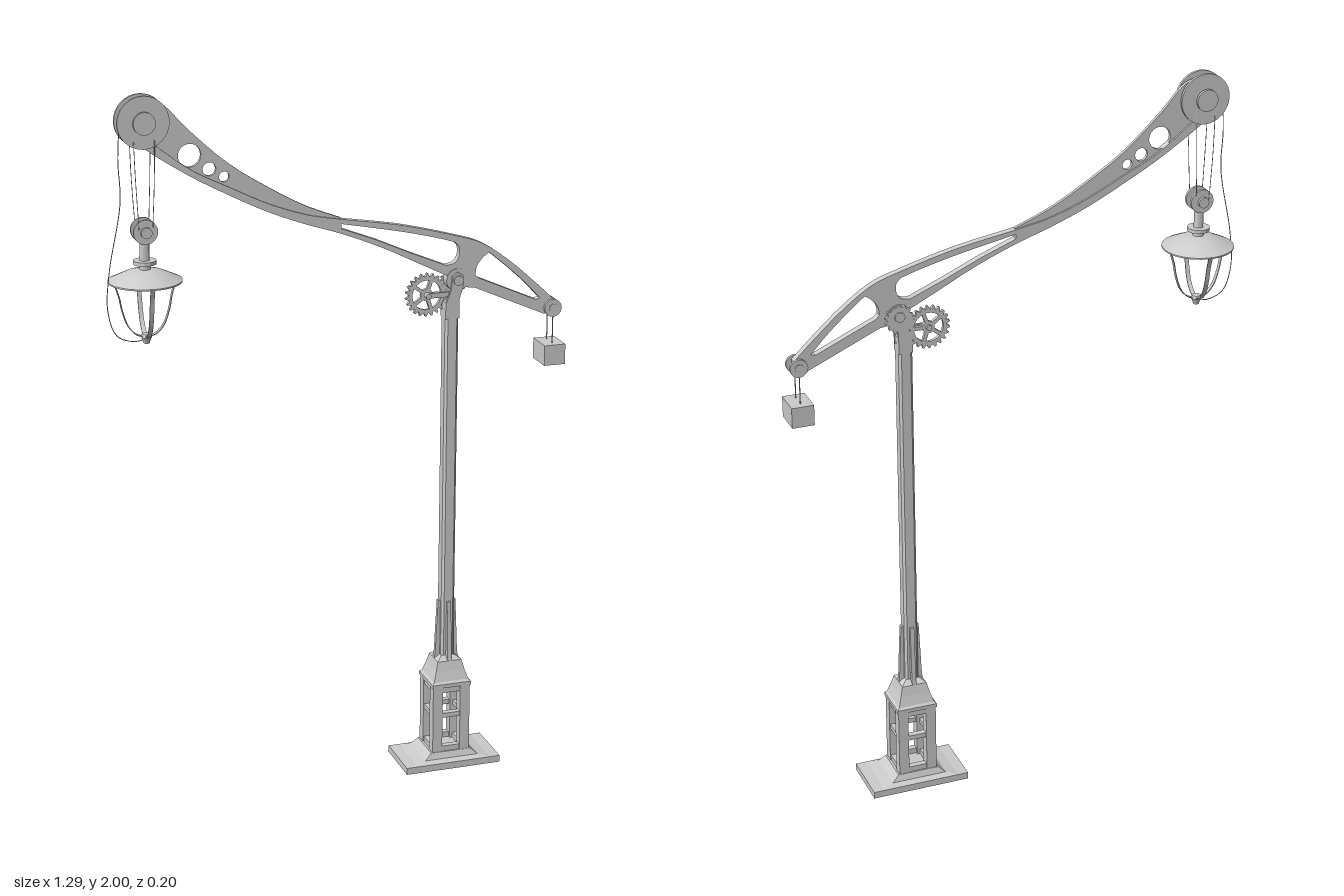
import * as THREE from 'three';
import { toCreasedNormals } from 'three/addons/utils/BufferGeometryUtils.js';

const V2 = (x, y) => new THREE.Vector2(x, y);
const V3 = (x, y, z) => new THREE.Vector3(x, y, z);
const smooth = new THREE.MeshStandardMaterial({ color: 0xcccccc });
const thin = new THREE.MeshStandardMaterial({ color: 0xcccccc, side: THREE.DoubleSide });
const flat = new THREE.MeshStandardMaterial({ color: 0xcccccc, side: THREE.DoubleSide, flatShading: true });

function add(parent, name, geo, x = 0, y = 0, z = 0, mat = smooth) {
  const m = new THREE.Mesh(geo, mat);
  m.name = name;
  m.position.set(x, y, z);
  parent.add(m);
  return m;
}
const spline = (pts, n = 24) => new THREE.SplineCurve(pts.map(p => V2(...p))).getPoints(n);
const box = (w, h, d) => new THREE.BoxGeometry(w, h, d);
// disc whose axis runs along z
const disc = (r, t, n = 32) => new THREE.CylinderGeometry(r, r, t, n).rotateX(Math.PI / 2);
// outline extruded symmetrically about z = 0, wound so that hole walls face inwards
function plate(shape, t) {
  const outline = shape.getPoints(20);
  if (THREE.ShapeUtils.isClockWise(outline)) outline.reverse();
  const s = new THREE.Shape(outline);
  s.holes = shape.holes;
  const g = new THREE.ExtrudeGeometry(s, { depth: t, bevelEnabled: false, curveSegments: 20 });
  return toCreasedNormals(g.translate(0, 0, -t / 2), 0.6);
}
const circleHole = (x, y, r) => new THREE.Path().absarc(x, y, r, 0, Math.PI * 2, true);
const wire = (pts, r, n) =>
  new THREE.TubeGeometry(new THREE.CatmullRomCurve3(pts.map(p => V3(...p))), n, r, 5);

// open stack of rectangles: [half x, half z, y]
function loft(levels) {
  const pos = [], idx = [];
  levels.forEach(([a, b, y], i) => {
    pos.push(a, y, b, a, y, -b, -a, y, -b, -a, y, b);
    if (!i) return;
    for (let k = 0; k < 4; k++) {
      const p = (i - 1) * 4 + k, q = (i - 1) * 4 + (k + 1) % 4;
      idx.push(p, q, q + 4, p, q + 4, p + 4);
    }
  });
  const g = new THREE.BufferGeometry();
  g.setAttribute('position', new THREE.Float32BufferAttribute(pos, 3));
  g.setIndex(idx);
  g.computeVertexNormals();
  return g;
}

function gear(r, teeth, t, spokes) {
  const s = new THREE.Shape();
  for (let i = 0; i < teeth; i++) {
    [[0, 0.85], [0.3, 1], [0.5, 1], [0.8, 0.85]].forEach(([f, k], j) => {
      const a = (i + f) / teeth * Math.PI * 2;
      s[i + j ? 'lineTo' : 'moveTo'](r * k * Math.cos(a), r * k * Math.sin(a));
    });
  }
  for (let i = 0; i < spokes; i++) {
    const a = i / spokes * Math.PI * 2, b = a + Math.PI * 2 / spokes;
    const h = new THREE.Path();
    h.absarc(0, 0, r * 0.68, a + 0.12, b - 0.12, false);
    h.absarc(0, 0, r * 0.28, b - 0.3, a + 0.3, true);
    s.holes.push(h);
  }
  return plate(s, t);
}

// two flanged wheels on a common axle with end washers
function pulley(parent, name, x, y, r, gap, hubR, hubW) {
  const g = new THREE.Group();
  g.name = name;
  g.position.set(x, y, 0);
  for (const s of [-1, 1]) {
    add(g, 'pulleyFlange', disc(r, 0.008), 0, 0, s * gap);
    add(g, 'pulleyWasher', disc(hubR, 0.008), 0, 0, s * (hubW / 2 - 0.004));
  }
  add(g, 'pulleyAxle', disc(hubR * 0.55, hubW - 0.002), 0, 0, 0);
  parent.add(g);
}

function buildPost(root) {
  const post = new THREE.Group();
  post.name = 'post';
  post.position.x = 0.317;
  root.add(post);
  add(post, 'plinth', loft([[0.142, 0.081, 0], [0.142, 0.081, 0.02], [0.11, 0.079, 0.021],
    [0.08, 0.064, 0.027], [0.06, 0.057, 0.045], [0, 0, 0.046]]), 0, 0, 0, flat);
  add(post, 'plinthHollow', loft([[0.142, 0.081, 0], [0.04, 0.03, 0.026], [0, 0, 0.04]]), 0, 0, 0, flat);
  // open cage with two rows of windows
  for (const sx of [-1, 1]) for (const sz of [-1, 1])
    add(post, 'cagePost', box(0.029, 0.215, 0.029), sx * 0.041, 0.148, sz * 0.041);
  for (const [y, h] of [[0.05, 0.022], [0.157, 0.014], [0.241, 0.026]])
    for (let k = 0; k < 4; k++) {
      const bar = add(post, 'cageRail', box(0.056, h, 0.018));
      bar.position.set(Math.sin(k * Math.PI / 2) * 0.044, y, Math.cos(k * Math.PI / 2) * 0.044);
      bar.rotation.y = k * Math.PI / 2;
    }
  // cap with a concave flare running up into the fins
  add(post, 'cageCap', loft([[0, 0, 0.244], [0.058, 0.058, 0.245], [0.058, 0.058, 0.256], [0.052, 0.052, 0.262],
    [0.043, 0.043, 0.29], [0.036, 0.036, 0.318], [0.019, 0.019, 0.33]]), 0, 0, 0, flat);
  // square mast with chamfered corners
  const a = 0.0195, c = 0.013;
  const section = new THREE.Shape([V2(a, -c), V2(a, c), V2(c, a), V2(-c, a), V2(-a, c), V2(-a, -c), V2(-c, -a), V2(c, -a)]);
  add(post, 'mast', plate(section, 1.1).rotateX(Math.PI / 2), 0, 0.805, 0);
  // four fins
  const fin = new THREE.Shape([V2(0.005, 0.29), ...spline([[0.042, 0.29], [0.034, 0.33], [0.03, 0.41], [0.026, 0.495]], 12),
    V2(0.005, 0.495)]);
  for (let k = 0; k < 4; k++)
    add(post, 'fin', plate(fin, 0.012)).rotation.y = k * Math.PI / 2;
  // fork carrying the arm
  const cheek = new THREE.Shape([V2(-0.02, 1.33), V2(-0.02, 1.37), V2(-0.005, 1.41), V2(0, 1.45), V2(0.015, 1.46),
    V2(0.03, 1.45), V2(0.031, 1.42), V2(0.02, 1.385), V2(0.02, 1.33)]);
  for (const s of [-1, 1]) add(post, 'forkCheek', plate(cheek, 0.007), 0, 0, s * 0.0165);
  add(post, 'forkBlock', box(0.038, 0.04, 0.038), 0, 1.355, 0);
}

function buildArm(root) {
  const arm = new THREE.Group();
  arm.name = 'arm';
  root.add(arm);
  const flangeTop = [[-0.53, 1.885], [-0.415, 1.797], [-0.31, 1.742], [-0.204, 1.69], [-0.098, 1.652], [0, 1.632]];
  // truss frame
  const frame = new THREE.Shape([
    ...spline([...flangeTop, [0.167, 1.603], [0.325, 1.562], [0.405, 1.534], [0.484, 1.48], [0.564, 1.41], [0.625, 1.352]], 50),
    V2(0.625, 1.322), V2(0.59, 1.318), V2(0.385, 1.41), V2(0.35, 1.415), V2(0.325, 1.41), V2(0.304, 1.45),
    ...spline([[0.22, 1.492], [0.114, 1.545], [0, 1.592], [-0.098, 1.625], [-0.204, 1.667], [-0.31, 1.72],
      [-0.415, 1.778], [-0.52, 1.847], [-0.545, 1.87]], 36)]);
  frame.holes.push(
    new THREE.Path([...spline([[0, 1.619], [0.16, 1.587], [0.27, 1.56], [0.325, 1.543]], 14),
      ...spline([[0.337, 1.53], [0.338, 1.505], [0.325, 1.485], [0.3, 1.48]], 8), V2(0.2, 1.522), V2(0.1, 1.567), V2(0, 1.606)]),
    new THREE.Path([...spline([[0.425, 1.507], [0.49, 1.452], [0.535, 1.41], [0.578, 1.364]], 12),
      V2(0.565, 1.361), V2(0.395, 1.437), ...spline([[0.386, 1.447], [0.39, 1.472], [0.408, 1.495]], 6)]));
  add(arm, 'armFrame', plate(frame, 0.021));
  // thin pierced web above the lower flange
  const web = new THREE.Shape([
    ...spline([[-0.59, 1.93], [-0.575, 1.967], [-0.54, 1.985], [-0.484, 1.972], [-0.415, 1.9], [-0.31, 1.805],
      [-0.2, 1.732], [-0.098, 1.675], [0, 1.635]], 36),
    ...spline([[0, 1.622], [-0.098, 1.642], [-0.204, 1.68], [-0.31, 1.732], [-0.415, 1.787], [-0.53, 1.87], [-0.58, 1.9]], 28)]);
  for (const [x, y, r] of [[-0.415, 1.833, 0.031], [-0.362, 1.793, 0.018], [-0.322, 1.77, 0.014]])
    web.holes.push(circleHole(x, y, r));
  add(arm, 'armWeb', plate(web, 0.01));
  // pivot and winding gears
  add(arm, 'pivotBoss', disc(0.032, 0.026), 0.333, 1.437, 0);
  add(arm, 'pivotPin', disc(0.014, 0.05), 0.333, 1.437, 0);
  add(arm, 'pinion', gear(0.04, 14, 0.008, 0), 0.333, 1.43, -0.016);
  add(arm, 'windingGear', gear(0.061, 22, 0.01, 5), 0.252, 1.395, -0.014);
  add(arm, 'gearAxle', disc(0.008, 0.034, 12), 0.252, 1.395, -0.008);
  add(arm, 'gearBracket', box(0.075, 0.014, 0.006), 0.285, 1.395, 0);
}

function buildCounterweight(root) {
  const X = 0.614;
  pulley(root, 'rearPulley', X, 1.335, 0.025, 0.018, 0.012, 0.05);
  add(root, 'counterweight', box(0.062, 0.058, 0.084), X, 1.205, 0);
  for (const s of [-1, 1])
    add(root, 'weightHanger', new THREE.CylinderGeometry(0.0015, 0.0015, 0.105, 6), X, 1.283, s * 0.02);
}

function buildLamp(root) {
  const X = -0.54;
  pulley(root, 'mainPulley', X, 1.93, 0.07, 0.017, 0.03, 0.07);
  pulley(root, 'lampPulley', X, 1.64, 0.033, 0.016, 0.015, 0.064);
  for (const sx of [-1, 1]) for (const sz of [-1, 1])
    add(root, 'suspensionWire', wire([[X + sx * 0.028, 1.89, sz * 0.023], [X + sx * 0.025, 1.78, sz * 0.024],
      [X + sx * 0.018, 1.64, sz * 0.022]], 0.001, 8), 0, 0, 0, thin);
  // stem, collar and wide shade
  const lampTop = [[0.001, 1.645], [0.013, 1.645], [0.013, 1.561], [0.031, 1.561], [0.031, 1.551], [0.015, 1.551],
    [0.015, 1.537], [0.03, 1.535], [0.05, 1.53], [0.078, 1.517], [0.099, 1.507], [0.099, 1.503], [0.07, 1.505], [0.001, 1.508]];
  const lathe = pts => toCreasedNormals(new THREE.LatheGeometry(pts.map(p => V2(...p)).reverse(), 36), 0.6);
  add(root, 'lampShade', lathe(lampTop), X, 0, 0, thin);
  // four thin ribbons forming the lantern cage
  const ribbon = spline([[0.086, 1.505], [0.073, 1.465], [0.065, 1.425], [0.051, 1.385], [0.03, 1.36], [0.008, 1.352]], 20);
  const back = ribbon.map(p => V2(p.x - 0.002, p.y + 0.002)).reverse();
  for (let k = 0; k < 4; k++)
    add(root, 'lanternRib', plate(new THREE.Shape([...ribbon, ...back]), 0.012), X, 0, 0).rotation.y = k * Math.PI / 2;
  add(root, 'lampFinial', lathe([[0.001, 1.362], [0.012, 1.36], [0.015, 1.351], [0.01, 1.342], [0.008, 1.334], [0.001, 1.333]]), X, 0, 0, thin);
  // slack supply cable
  add(root, 'cable', wire([[-0.6, 1.92, 0], [-0.605, 1.83, 0], [-0.602, 1.72, 0], [-0.637, 1.53, 0], [-0.643, 1.43, 0],
    [-0.62, 1.36, 0], [-0.575, 1.341, 0], [X, 1.345, 0]], 0.0013, 40), 0, 0, 0, thin);
}

export function createModel() {
  const root = new THREE.Group();
  root.name = 'craneLamp';
  buildPost(root);
  buildArm(root);
  buildCounterweight(root);
  buildLamp(root);
  return root;
}
